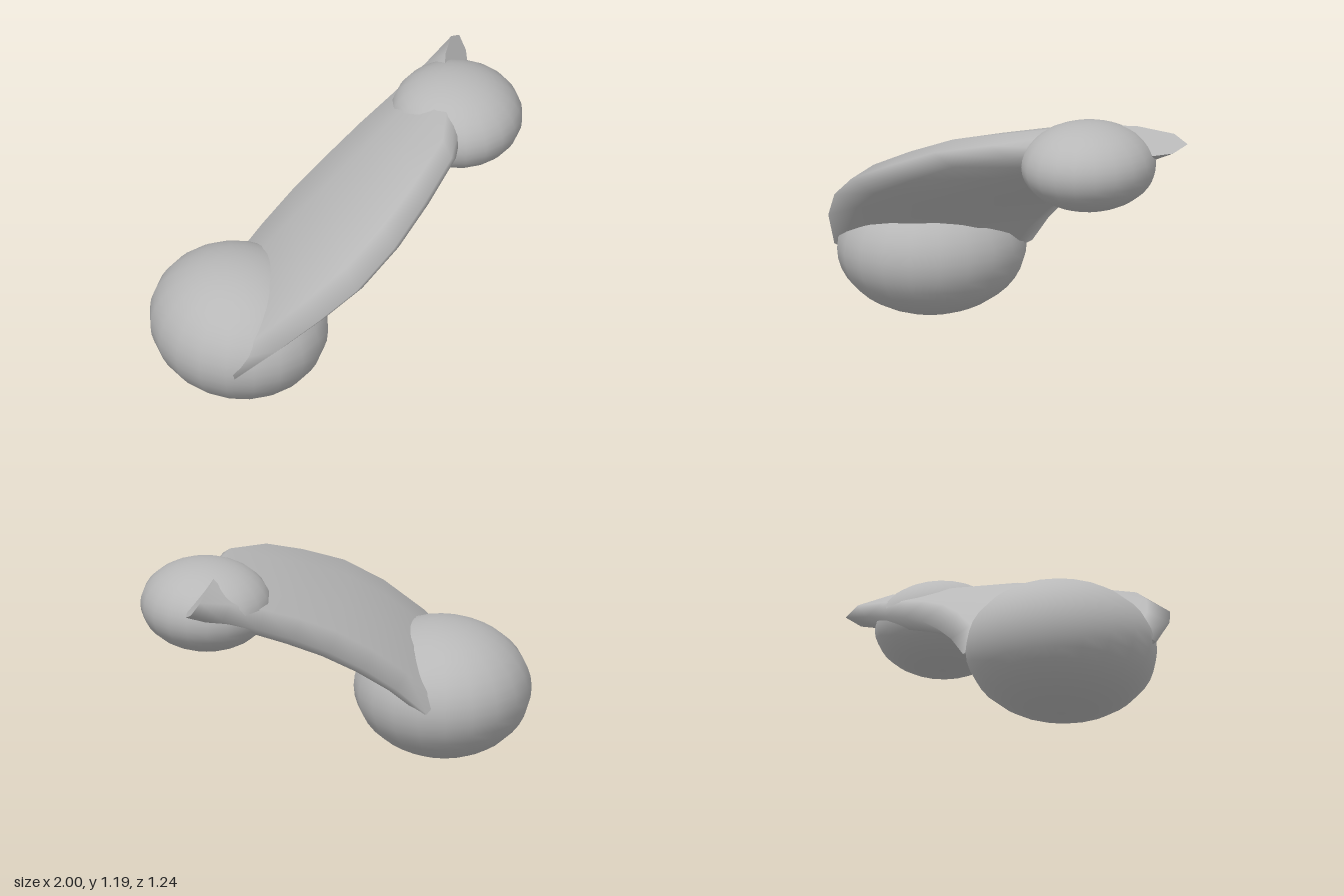
import * as THREE from 'three';

const V = (p) => new THREE.Vector3(...p);

// Leading and trailing edges of the bridging blade, paired section by section
const FRONT = [
  [-0.8, 0.33, 0.45], [-0.63, 0.52, 0.56], [-0.44, 0.67, 0.615], [-0.24, 0.79, 0.62],
  [0, 0.90, 0.53], [0.22, 1.0, 0.4], [0.46, 1.07, 0.21], [0.575, 1.11, 0],
].map(V);
const BACK = [
  [-0.36, 0.36, -0.385], [-0.2, 0.51, -0.4], [-0.03, 0.64, -0.425], [0.15, 0.755, -0.45],
  [0.34, 0.855, -0.485], [0.53, 0.94, -0.52], [0.72, 1.02, -0.565], [0.9, 1.09, -0.62],
].map(V);
const SIDES = 10;

// Elliptical rings lofted between the two edges, with flat end caps
function bladeGeometry() {
  const rows = FRONT.length;
  const centres = FRONT.map((f, i) => f.clone().add(BACK[i]).multiplyScalar(0.5));
  const pos = [], index = [];
  for (let i = 0; i < rows; i++) {
    const half = FRONT[i].clone().sub(BACK[i]).multiplyScalar(0.5);
    const tangent = centres[Math.min(i + 1, rows - 1)].clone().sub(centres[Math.max(i - 1, 0)]);
    const normal = half.clone().cross(tangent).normalize();
    const thick = 0.09 + 0.035 * Math.sin((Math.PI * i) / (rows - 1));
    for (let j = 0; j < SIDES; j++) {
      const a = (j / SIDES) * Math.PI * 2;
      const p = centres[i].clone()
        .addScaledVector(half, Math.cos(a))
        .addScaledVector(normal, thick * Math.sin(a));
      pos.push(p.x, p.y, p.z);
    }
  }
  for (let i = 0; i < rows - 1; i++) {
    for (let j = 0; j < SIDES; j++) {
      const k = (j + 1) % SIDES;
      const a = i * SIDES + j, b = i * SIDES + k;
      index.push(a, a + SIDES, b, b, a + SIDES, b + SIDES);
    }
  }
  // Caps use their own vertices so the rims stay sharp
  for (const row of [0, rows - 1]) {
    const first = pos.length / 3;
    pos.push(...pos.slice(row * SIDES * 3, (row + 1) * SIDES * 3));
    for (let j = 1; j < SIDES - 1; j++) {
      if (row === 0) index.push(first, first + j, first + j + 1);
      else index.push(first, first + j + 1, first + j);
    }
  }
  const g = new THREE.BufferGeometry();
  g.setAttribute('position', new THREE.Float32BufferAttribute(pos, 3));
  g.setIndex(index);
  g.computeVertexNormals();
  return g;
}

export function createModel() {
  const grey = new THREE.MeshStandardMaterial({ color: 0xb8b8b8 });
  grey.name = 'plain grey';
  const model = new THREE.Group();
  model.name = 'model';

  const add = (name, geometry) => {
    const mesh = new THREE.Mesh(geometry, grey);
    mesh.name = name;
    model.add(mesh);
    return mesh;
  };

  // Rounded end masses
  const ellipsoid = (name, centre, radii) => {
    const mesh = add(name, new THREE.SphereGeometry(1, 20, 20));
    mesh.scale.set(...radii);
    mesh.position.set(...centre);
  };
  ellipsoid('lowerBulb', [-0.58, 0.33, 0.04], [0.42, 0.328, 0.46]);
  ellipsoid('upperBulb', [0.685, 0.98, -0.2], [0.312, 0.215, 0.325]);

  // Curved blade joining them
  add('bridgingBlade', bladeGeometry());
  return model;
}
